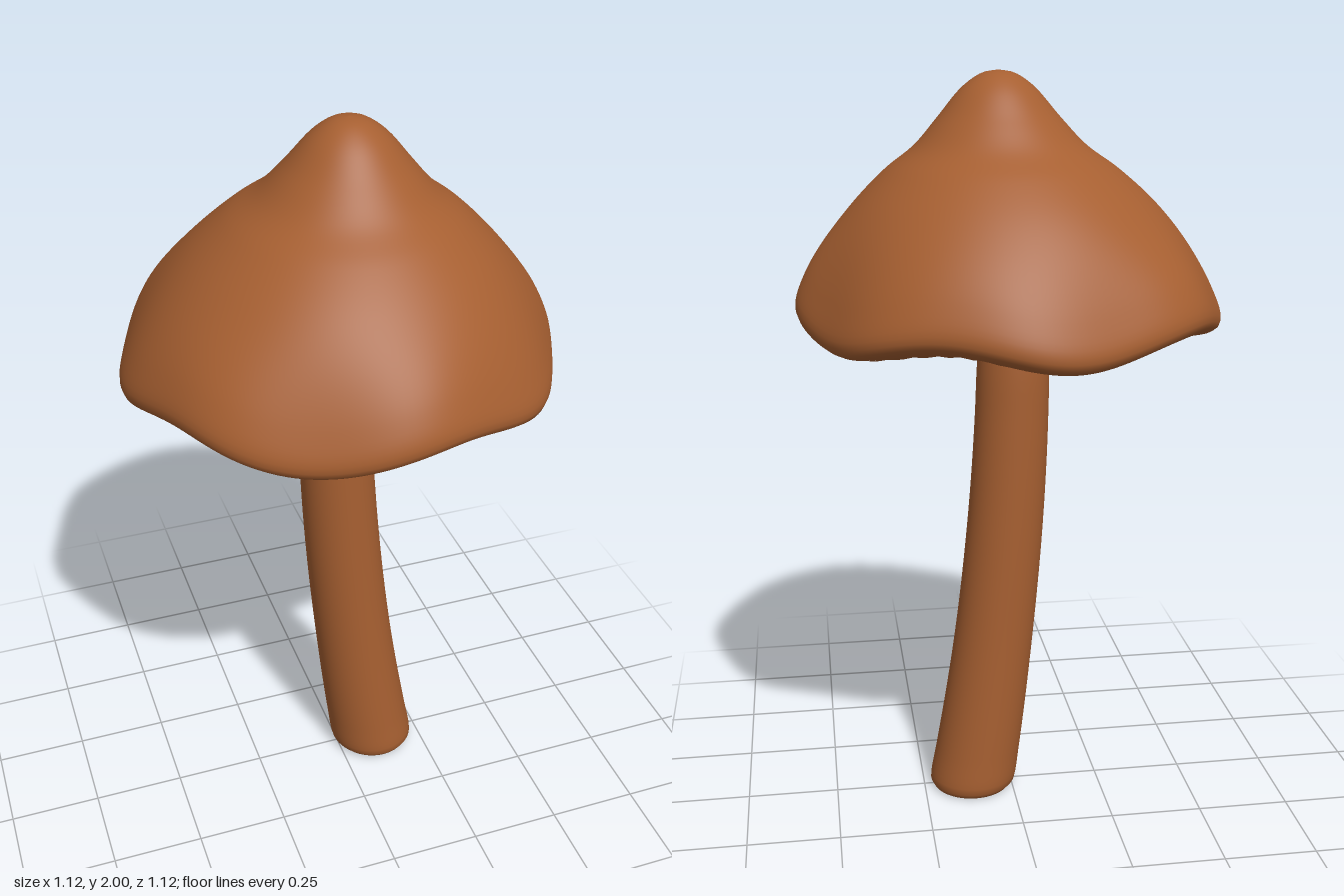
import * as THREE from 'three';

// Skins a closed ring surface; place(v, angle) gives each point, v runs 0..1 from top to bottom.
function loft(rows, segments, place) {
  const positions = [], index = [];
  for (let i = 0; i <= rows; i++) {
    for (let j = 0; j < segments; j++) {
      positions.push(...place(i / rows, (j / segments) * Math.PI * 2));
    }
  }
  for (let i = 0; i < rows; i++) {
    for (let j = 0; j < segments; j++) {
      const a = i * segments + j, b = i * segments + (j + 1) % segments;
      const c = a + segments, d = b + segments;
      index.push(a, b, c, b, d, c);
    }
  }
  const geometry = new THREE.BufferGeometry();
  geometry.setAttribute('position', new THREE.Float32BufferAttribute(positions, 3));
  geometry.setIndex(index);
  geometry.computeVertexNormals();
  return geometry;
}

// Smooth curve through [radius, height] pairs
const profile = (points) =>
  new THREE.CatmullRomCurve3(points.map(([r, y]) => new THREE.Vector3(r, y, 0)), false, 'centripetal');

const { smoothstep } = THREE.MathUtils;

export function createModel() {
  const model = new THREE.Group();
  model.name = 'mushroom';

  const brown = new THREE.MeshStandardMaterial({ color: 0xa65f31 });
  brown.name = 'mushroom brown';

  const add = (name, geometry) => {
    const mesh = new THREE.Mesh(geometry, brown);
    mesh.name = name;
    model.add(mesh);
  };

  // Wavy rim: five drooping lobes, and a softly cornered outline
  const droop = (a) => Math.cos(5 * (a - 2.01));
  const corners = (a) => Math.cos(8 * a);
  const capPoint = (r, y, a) => {
    const rim = smoothstep(r, 0.3, 0.55) * smoothstep(1.75 - y, 0, 0.33);
    const radius = r * (1 + 0.012 * corners(a) * rim);
    const lean = 0.03 * smoothstep(y, 1.4, 1.95);
    return [radius * Math.cos(a) + lean, y - 0.024 * droop(a) * rim, radius * Math.sin(a)];
  };

  // Cap: pointed dome rolling over into the lip
  const dome = profile([
    [0, 2], [0.04, 1.993], [0.09, 1.96], [0.16, 1.88], [0.22, 1.815], [0.3, 1.755],
    [0.39, 1.67], [0.47, 1.57], [0.525, 1.475], [0.552, 1.4], [0.546, 1.373], [0.52, 1.357],
  ]);
  add('cap', loft(56, 160, (v, a) => {
    const p = dome.getPointAt(v);
    return capPoint(p.x, p.y, a);
  }));

  // Gills: radial folds under the cap, fading out at the lip and the stem
  const underside = profile([
    [0.52, 1.357], [0.48, 1.347], [0.4, 1.342], [0.25, 1.34], [0.13, 1.338], [0.06, 1.332],
  ]);
  add('gills', loft(24, 384, (v, a) => {
    const p = underside.getPointAt(v);
    const depth = 0.028 * smoothstep(v, 0, 0.3) * (1 - smoothstep(v, 0.75, 1));
    const fold = 0.5 + 0.5 * Math.cos(48 * a);
    return capPoint(p.x, p.y + depth * fold, a);
  }));

  // Stem: tapering, curving towards +x at the foot
  const stemSide = profile([
    [0.072, 1.36], [0.078, 1.33], [0.09, 1.3], [0.096, 1.24], [0.099, 1.1], [0.104, 0.8],
    [0.11, 0.45], [0.119, 0.12], [0.121, 0.03], [0.117, 0.012], [0.108, 0.006], [0, 0.004],
  ]);
  add('stem', loft(80, 64, (v, a) => {
    const p = stemSide.getPointAt(v);
    const bend = -0.008 + 0.122 * Math.pow(Math.max(0, 1 - p.y / 1.3), 1.8);
    return [p.x * Math.cos(a) + bend, p.y, p.x * Math.sin(a)];
  }));

  return model;
}
